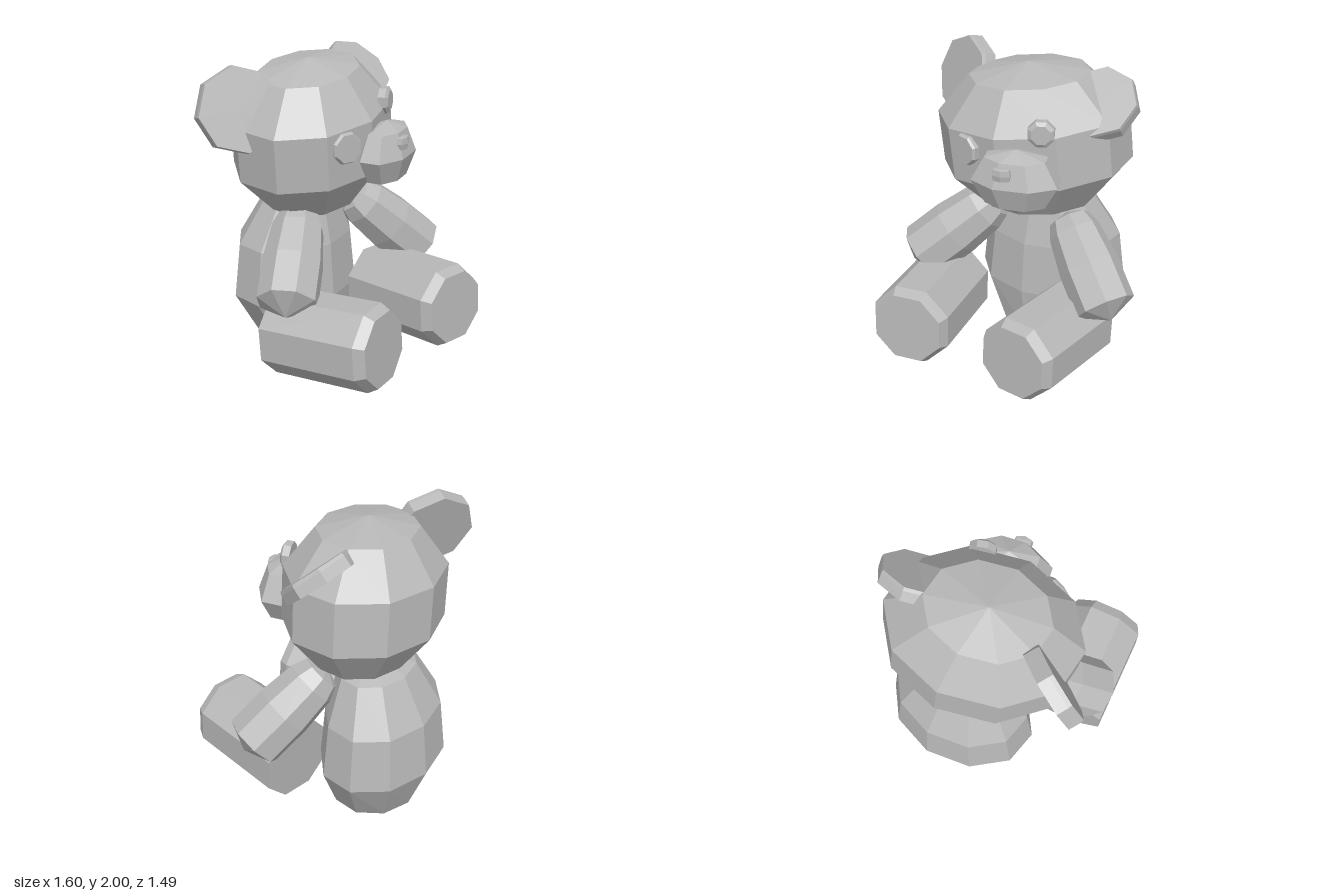
import * as THREE from 'three';

const grey = new THREE.MeshStandardMaterial({ color: 0xb8b8b8, flatShading: true });
grey.name = 'grey plush';
const DEG = Math.PI / 180;

// Faceted solid of revolution from [radius, height] pairs, bottom to top
function turned(name, profile, sides, phase = 0) {
  const pts = profile.map(([r, y]) => new THREE.Vector2(r, y));
  const mesh = new THREE.Mesh(new THREE.LatheGeometry(pts, sides, phase * DEG), grey);
  mesh.name = name;
  return mesh;
}

// Same solid, starting at a point and pointing along a direction, kept upright
function aimed(name, profile, sides, at, dir, phase) {
  const mesh = turned(name, profile, sides, phase);
  const d = new THREE.Vector3(...dir).normalize();
  mesh.position.set(...at);
  mesh.rotation.set(Math.acos(d.y), Math.atan2(d.x, d.z), 0, 'YXZ');
  return mesh;
}

// Thin bevelled disc centred on a point
function disc(name, r, inner, thick, at, dir, phase) {
  const h = thick / 2;
  return aimed(name, [[0, -h], [r, -h], [r, h * 0.5], [inner, h], [0, h]], 8, at, dir, phase);
}

export function createModel() {
  const bear = new THREE.Group();
  bear.name = 'teddyBear';

  // Egg-shaped body, wider than deep, narrowing at the seat and bowed backwards
  const body = turned('body', [[0, 0], [0.285, 0.11], [0.367, 0.42], [0.335, 0.77], [0.22, 1.05], [0, 1.14]], 10, -2);
  const p = body.geometry.attributes.position;
  for (let i = 0; i < p.count; i++) {
    const x = p.getX(i), y = p.getY(i), z = p.getZ(i);
    const bow = 1 - ((y - 0.58) / 0.58) ** 2;
    const wide = 1.33 - 0.28 * Math.max(0, 1 - y / 0.42);
    p.setXYZ(i, 0.02 + wide * x - 0.08 * z, y, z - 0.29 - 0.085 * bow);
  }
  bear.add(body);

  // Head, turned and tilted to one side
  const head = turned('head', [[0, -0.48], [0.285, -0.43], [0.478, -0.17], [0.478, 0.17], [0.3, 0.41], [0, 0.48]], 10, -13.5);
  head.scale.set(1.255, 1, 1);
  head.rotation.set(0, 16 * DEG, 5.5 * DEG);
  head.position.set(-0.025, 1.5, -0.18);
  bear.add(head);

  // Snout and nose
  const snout = turned('snout', [[0, -0.2], [0.115, -0.15], [0.165, 0], [0.115, 0.15], [0, 0.2]], 8, 22.5);
  snout.scale.set(1.72, 1, 1);
  snout.rotation.y = 15 * DEG;
  snout.position.set(0.105, 1.43, 0.305);
  bear.add(snout);
  const nose = turned('nose', [[0, -0.04], [0.03, -0.035], [0.035, 0], [0.03, 0.035], [0, 0.04]], 6);
  nose.scale.set(1.85, 1, 1);
  nose.rotation.y = 15 * DEG;
  nose.position.set(0.085, 1.52, 0.442);
  bear.add(nose);

  // Button eyes
  bear.add(disc('rightEye', 0.1, 0.09, 0.06, [-0.25, 1.535, 0.275], [-0.3, 0.03, 1], 22.5));
  bear.add(disc('leftEye', 0.085, 0.062, 0.06, [0.22, 1.715, 0.21], [0.4, 0.05, 1], 22.5));

  // Flat ears
  bear.add(disc('rightEar', 0.265, 0.26, 0.1, [-0.565, 1.735, -0.28], [-0.48, 0.28, 0.83], 5));
  bear.add(disc('leftEar', 0.235, 0.23, 0.09, [0.415, 1.79, -0.18], [0.03, 0.75, 0.66], 5));

  // Arms hanging outwards and forwards, with blunt pointed hands
  const arm = [[0, 0], [0.13, 0.05], [0.165, 0.14], [0.19, 0.38], [0.19, 0.65], [0, 0.74]];
  bear.add(aimed('leftArm', arm, 8, [0.24, 1.05, -0.1], [0.66, -0.7, 0.42], 22.5));
  bear.add(aimed('rightArm', arm, 8, [-0.23, 1.05, -0.1], [-0.69, -0.65, 0.42], 22.5));

  // Legs stretched forwards, toes turned in, with bevelled soles
  const leg = [[0, 0], [0.27, 0], [0.27, 0.65], [0.235, 0.715], [0, 0.715]];
  bear.add(aimed('leftLeg', leg, 8, [0.4, 0.385, 0.015], [-0.1, 0.05, 0.73], 22.5));
  bear.add(aimed('rightLeg', leg, 8, [-0.54, 0.385, 0.015], [0.1, 0.05, 0.73], 22.5));

  return bear;
}
